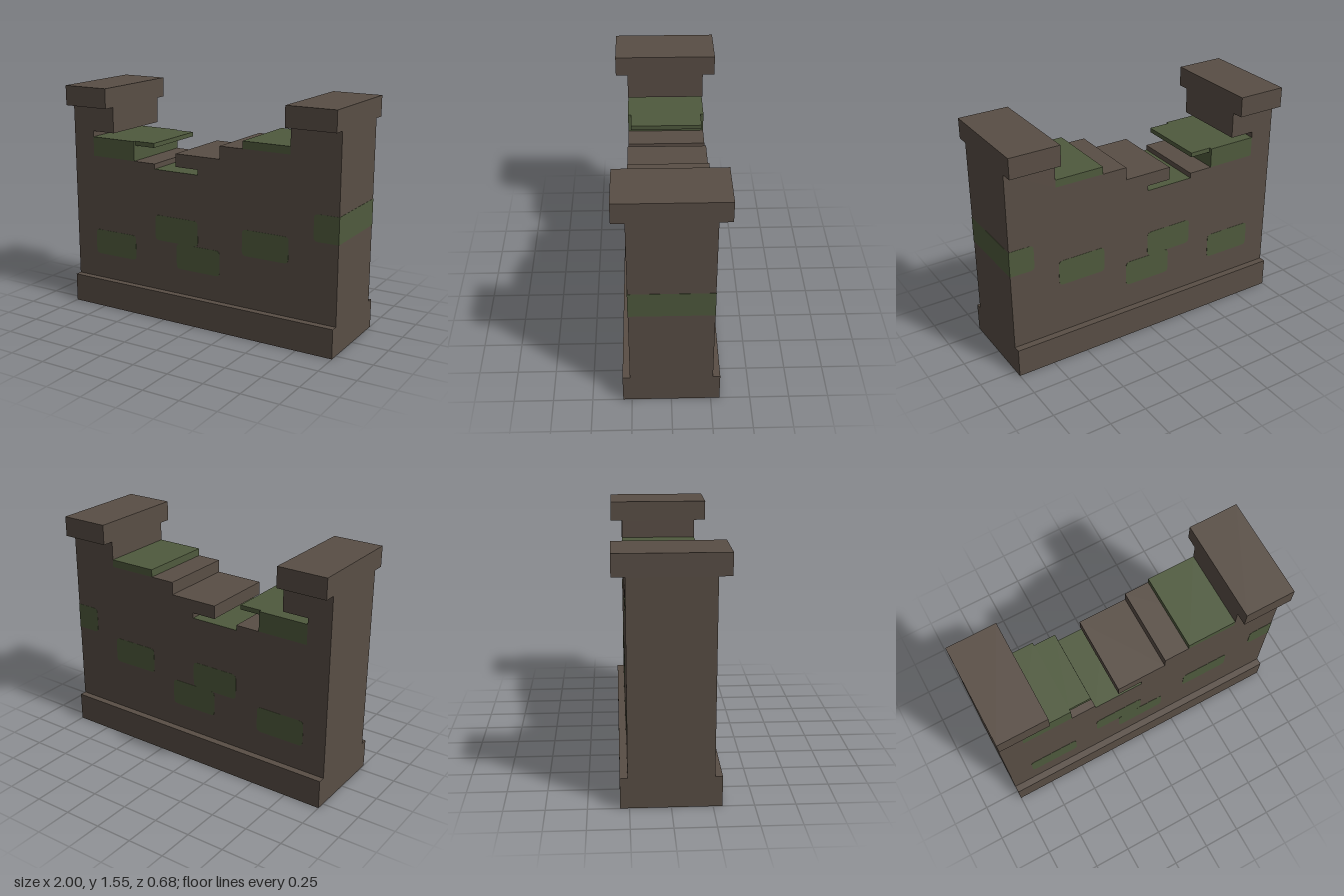
import * as THREE from 'three';

const stone = new THREE.MeshStandardMaterial({ color: 0x594e45 });
stone.name = 'brown stone';
const moss = new THREE.MeshStandardMaterial({ color: 0x4f5a3d });
moss.name = 'mossy green';

const HALF = 0.26; // half thickness of the wall
const SKIN = 0.0015; // how far flush mossy bricks stand proud

export function createModel() {
  const group = new THREE.Group();
  group.name = 'ruinedWall';

  function add(name, geometry, material) {
    const mesh = new THREE.Mesh(geometry, material);
    mesh.name = name;
    group.add(mesh);
    return mesh;
  }

  // Box given by its limits in x and y and its half depth
  function box(name, x0, x1, y0, y1, halfZ, material) {
    const mesh = add(name, new THREE.BoxGeometry(x1 - x0, y1 - y0, halfZ * 2), material);
    mesh.position.set((x0 + x1) / 2, (y0 + y1) / 2, 0);
  }

  // Extrusion through the wall, centred on z = 0
  function through(name, shape, halfZ, material) {
    const geometry = new THREE.ExtrudeGeometry(shape, { depth: halfZ * 2, bevelEnabled: false, curveSegments: 4 });
    geometry.translate(0, 0, -halfZ);
    add(name, geometry, material);
  }

  // Brick outline with rounded left corners, and right ones unless square
  function brickShape(x0, x1, y0, y1, squareRight) {
    const r = 0.03;
    const s = new THREE.Shape();
    s.moveTo(x0 + r, y0);
    if (squareRight) {
      s.lineTo(x1, y0);
      s.lineTo(x1, y1);
    } else {
      s.lineTo(x1 - r, y0);
      s.quadraticCurveTo(x1, y0, x1, y0 + r);
      s.lineTo(x1, y1 - r);
      s.quadraticCurveTo(x1, y1, x1 - r, y1);
    }
    s.lineTo(x0 + r, y1);
    s.quadraticCurveTo(x0, y1, x0, y1 - r);
    s.lineTo(x0, y0 + r);
    s.quadraticCurveTo(x0, y0, x0 + r, y0);
    return s;
  }

  // Plinth
  box('base', -1, 1, 0, 0.195, 0.306, stone);

  // Wall body with its broken, stepped top
  const outline = [
    [-1, 0.195], [1, 0.195], [1, 1.415], [0.665, 1.415], [0.665, 1.24],
    [0.165, 1.24], [0.165, 1.155], [-0.167, 1.155], [-0.167, 1.067], [0, 1.067],
    [0, 1.03], [-0.335, 1.03], [-0.335, 1.067], [-0.84, 1.067], [-0.84, 1.24],
    [-0.667, 1.24], [-0.667, 1.415], [-1, 1.415],
  ].map(([x, y]) => new THREE.Vector2(x, y));
  through('wall', new THREE.Shape(outline), HALF, stone);

  // Capstones on both end pillars
  box('leftCap', 0.665, 1, 1.415, 1.55, 0.34, stone);
  box('rightCap', -1, -0.667, 1.415, 1.55, 0.34, stone);

  // Mossy bricks running through the wall
  [
    [-0.84, -0.5, 0.37, 0.545],
    [-0.335, 0, 0.545, 0.72],
    [-0.167, 0.167, 0.37, 0.545],
    [0.333, 0.665, 0.545, 0.72],
  ].forEach((b) => through('mossyBrick', brickShape(...b, false), HALF + SKIN, moss));
  through('mossyEndBrick', brickShape(0.833, 1 + SKIN, 0.72, 0.895, true), HALF + SKIN, moss);

  // Mossy bricks and slabs on the broken edge
  box('brokenMossyBrick', -0.84, -0.5, 1.067, 1.2, HALF, moss);
  box('overhangingSlab', -0.5, -0.352, 1.17, 1.2, 0.24, moss);
  box('mossySlab', 0.333, 0.665, 1.24, 1.29, HALF, moss);
  box('mossyLedge', -0.335, 0, 1.03, 1.032, HALF, moss);

  return group;
}
